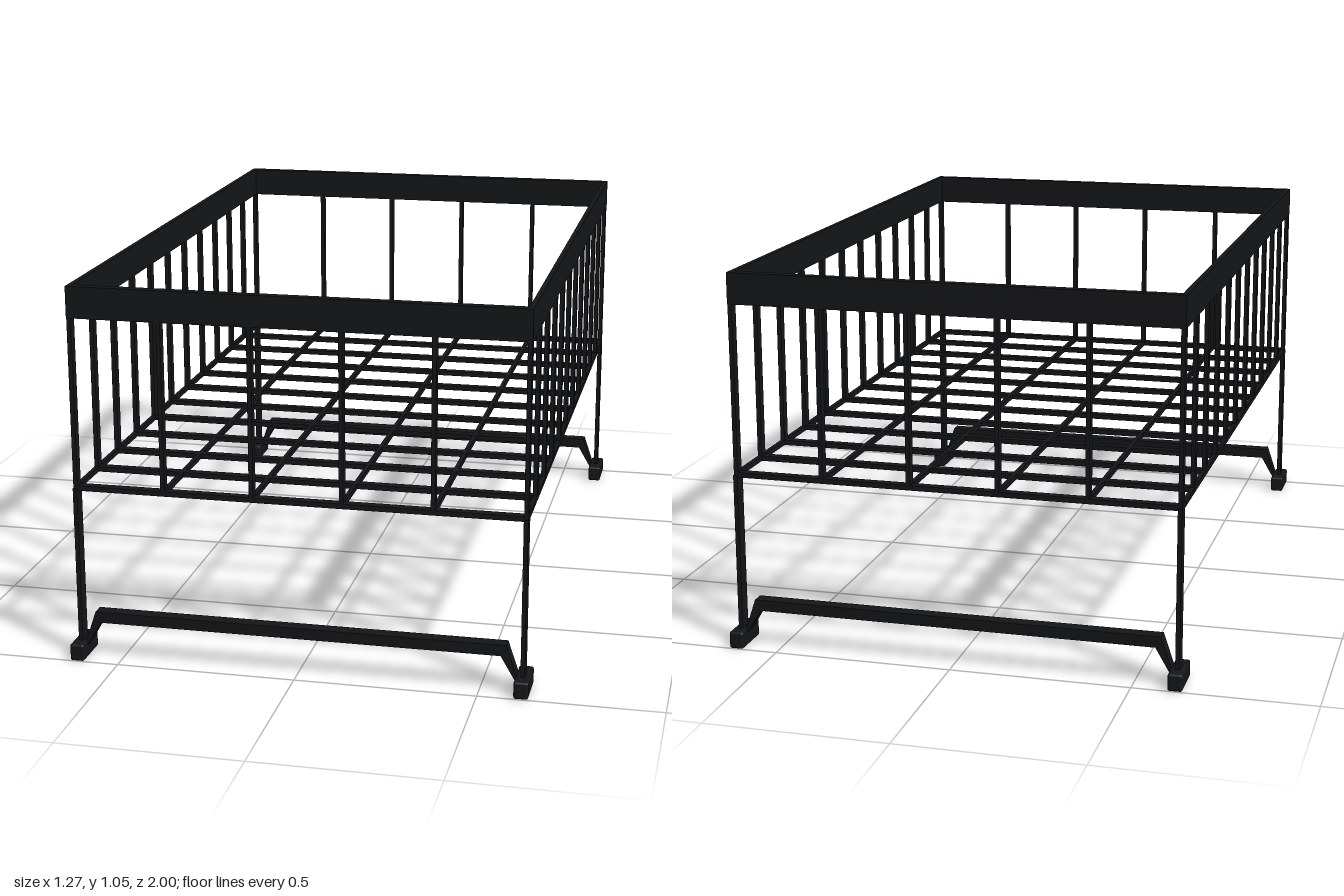
import * as THREE from 'three';
import { RoundedBoxGeometry } from 'three/addons/geometries/RoundedBoxGeometry.js';

const HX = 0.617;     // half width to rod centres
const HZ = 0.944;     // half length to rod centres
const FLOOR = 0.49;   // height of the wire floor
const RAIL = 0.965;   // underside of the top rail
const TX = 0.012, TY = 0.014, TZ = 0.026; // rod thickness per axis

export function createModel() {
  const model = new THREE.Group();
  const metal = new THREE.MeshStandardMaterial({ color: 0x151618 });

  const add = (parent, name, geometry, x = 0, y = 0, z = 0) => {
    const mesh = new THREE.Mesh(geometry, metal);
    mesh.name = name;
    mesh.position.set(x, y, z);
    parent.add(mesh);
  };
  const box = (parent, name, w, h, d, x, y, z) =>
    add(parent, name, new THREE.BoxGeometry(w, h, d), x, y, z);
  const group = (name) => {
    const g = new THREE.Group();
    g.name = name;
    model.add(g);
    return g;
  };

  // Wire basket: crosswise rods bent up into side uprights
  const basket = group('basket');
  const upH = RAIL - FLOOR + 0.01, upY = FLOOR + upH / 2;
  for (let i = 0; i < 12; i++) {
    const z = -HZ + (2 * HZ * i) / 11;
    box(basket, 'floorCrossRod', 2 * HX + TX, TY, TZ, 0, FLOOR, z);
    for (const s of [-1, 1]) box(basket, 'sideUpright', TX, upH, TZ, s * HX, upY, z);
  }

  // Lengthwise rods bent up into end uprights
  for (let i = 0; i < 6; i++) {
    const x = -HX + (2 * HX * i) / 5;
    box(basket, 'floorLongRod', TX, TY, 2 * HZ, x, FLOOR, 0);
    if (i === 0 || i === 5) continue; // corners already have uprights
    for (const s of [-1, 1]) box(basket, 'endUpright', TX, upH, TZ, x, upY, s * HZ);
  }

  // Flat band around the top
  const rail = group('topRail');
  const railH = 0.087, railY = RAIL + railH / 2;
  for (const s of [-1, 1]) {
    box(rail, 'sideRail', 0.014, railH, 2 * HZ + TZ, s * HX, railY, 0);
    box(rail, 'endRail', 2 * HX + 0.014, railH, TZ, 0, railY, s * HZ);
  }

  // One raised stretcher with sloping ends joins each pair of legs
  const stretcher = new THREE.Shape([
    [-0.6, 0.03], [-0.557, 0.104], [0.557, 0.104], [0.6, 0.03],
    [0.6, 0.052], [0.572, 0.135], [-0.572, 0.135], [-0.6, 0.052],
  ].map(([x, y]) => new THREE.Vector2(x, y)));
  const stretcherGeometry = new THREE.ExtrudeGeometry(stretcher, { depth: 0.038, bevelEnabled: false });
  stretcherGeometry.translate(0, 0, -0.019);
  const footGeometry = new RoundedBoxGeometry(0.04, 0.048, 0.12, 2, 0.006);

  for (const sz of [-1, 1]) {
    const stand = group(sz > 0 ? 'frontStand' : 'backStand');
    add(stand, 'stretcher', stretcherGeometry, 0, 0, sz * HZ);
    for (const sx of [-1, 1]) {
      box(stand, 'leg', 0.012, FLOOR - 0.02, 0.038, sx * HX, (FLOOR + 0.02) / 2, sz * HZ);
      add(stand, 'foot', footGeometry, sx * HX, 0.024, sz * 0.94);
    }
  }
  return model;
}
